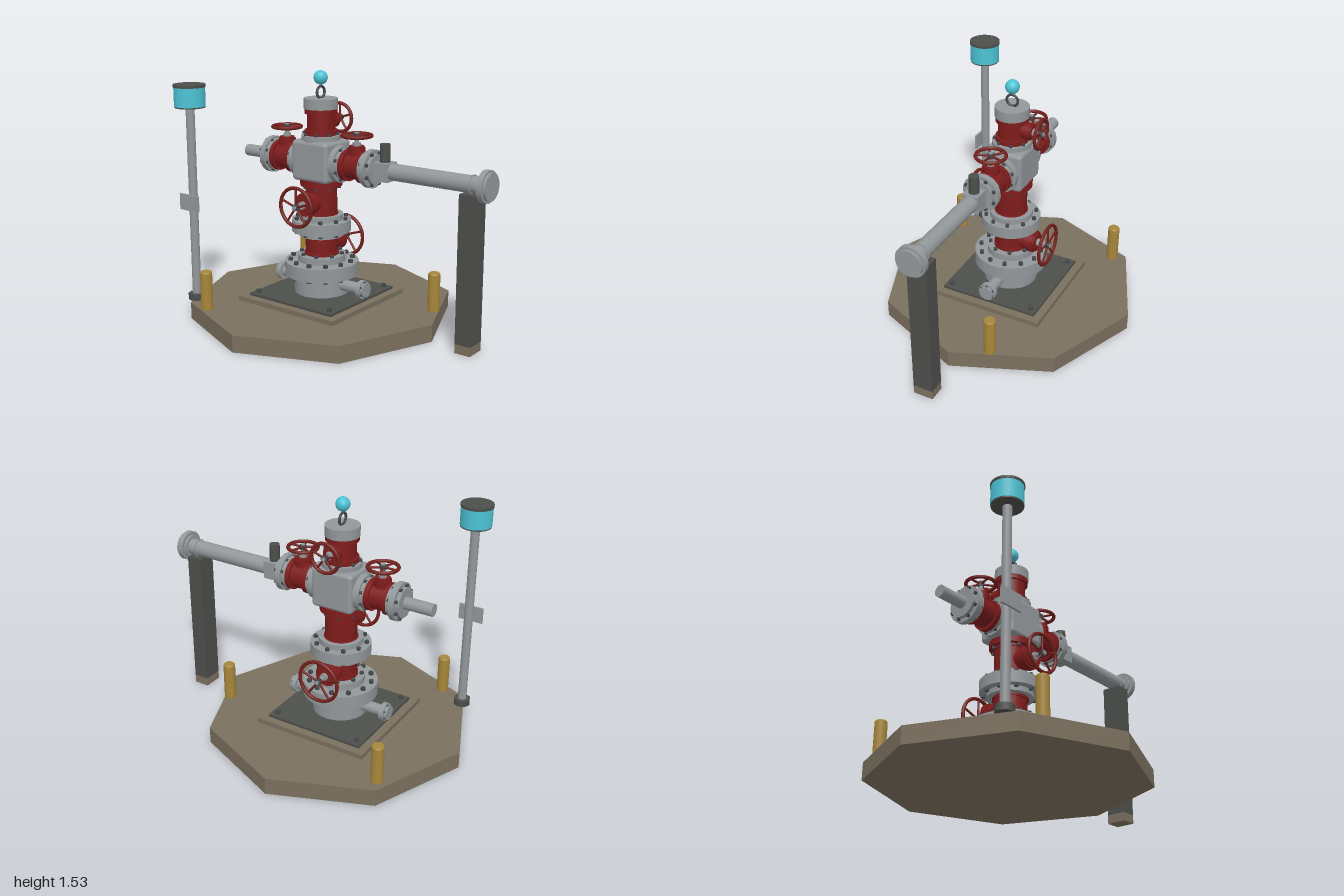
import * as THREE from 'three';
import { RoundedBoxGeometry } from 'three/addons/geometries/RoundedBoxGeometry.js';

const mat = (name, color) => {
  const m = new THREE.MeshStandardMaterial({ color });
  m.name = name;
  return m;
};

export function createModel() {
  const concrete = mat('concrete', 0x7b705f);
  const dark = mat('dark steel', 0x4d4f4b);
  const steel = mat('grey steel', 0x92979a);
  const red = mat('valve red', 0x7e1c1c);
  const rimRed = mat('handwheel red', 0x74201c);
  const cyan = mat('lamp cyan', 0x4cc3d5);
  const gold = mat('bollard yellow', 0xa6863a);
  const boltMat = mat('bolt steel', 0x45494b);

  const model = new THREE.Group();
  model.name = 'wellhead';
  const CX = -0.18, WING_Y = 0.98;

  const add = (parent, name, geo, material, x = 0, y = 0, z = 0) => {
    const m = new THREE.Mesh(geo, material);
    m.name = name;
    m.position.set(x, y, z);
    parent.add(m);
    return m;
  };
  const group = (parent, name, x = 0, y = 0, z = 0) => {
    const g = new THREE.Group();
    g.name = name;
    g.position.set(x, y, z);
    parent.add(g);
    return g;
  };
  const box = (p, name, material, w, h, d, x, y, z) =>
    add(p, name, new THREE.BoxGeometry(w, h, d), material, x, y, z);
  // Cylinder along local y between y0 and y1
  const cyl = (p, name, material, r, y0, y1, x = 0, z = 0, sides = 32) =>
    add(p, name, new THREE.CylinderGeometry(r, r, y1 - y0, sides), material, x, (y0 + y1) / 2, z);
  // Ring of bolts standing around local y
  const boltRing = (p, n, ring, y0, y1, r = 0.013) => {
    for (let i = 0; i < n; i++) {
      const a = ((i + 0.5) / n) * Math.PI * 2;
      cyl(p, 'flangeBolt', boltMat, r, y0, y1, Math.cos(a) * ring, Math.sin(a) * ring, 6);
    }
  };
  // Turn a group so that its local y runs along world x, and its local z along world y
  const layAlongX = (g, side) => {
    const m = new THREE.Matrix4().makeBasis(
      new THREE.Vector3(0, 0, side), new THREE.Vector3(side, 0, 0), new THREE.Vector3(0, 1, 0));
    g.quaternion.setFromRotationMatrix(m);
    return g;
  };

  // Spoked handwheel lying in the local xy plane
  const handwheel = (p, radius, z) => {
    const g = group(p, 'handwheel', 0, 0, z);
    add(g, 'wheelRim', new THREE.TorusGeometry(radius - 0.011, 0.011, 8, 36), rimRed);
    for (let i = 0; i < 5; i++) {
      const arm = group(g, 'wheelSpoke');
      arm.rotation.z = (i / 5) * Math.PI * 2;
      cyl(arm, 'spokeBar', rimRed, 0.007, 0, radius - 0.012, 0, 0, 8);
    }
    cyl(g, 'wheelHub', boltMat, 0.02, -0.014, 0.014, 0, 0, 12).rotation.x = Math.PI / 2;
  };
  // Gate valve: body along local y, bonnet and handwheel along local z
  const valve = (p, name, half, r, endR, bonnetR, bonnetZ, wheelR, wheelZ) => {
    const g = group(p, name);
    cyl(g, 'valveBody', red, r, -half, half);
    for (const s of [-1, 1]) {
      const a = s * half, b = s * (half - 0.03);
      cyl(g, 'valveEndFlange', red, endR, Math.min(a, b), Math.max(a, b));
    }
    const bonnet = group(g, 'bonnet');
    bonnet.rotation.x = Math.PI / 2;
    cyl(bonnet, 'bonnetNeck', red, bonnetR * 0.86, 0, bonnetZ);
    cyl(bonnet, 'bonnetCap', red, bonnetR, bonnetZ - 0.05, bonnetZ - 0.012);
    cyl(bonnet, 'stem', steel, 0.013, bonnetZ, wheelZ + 0.02, 0, 0, 12);
    cyl(bonnet, 'stemNut', steel, 0.024, bonnetZ, bonnetZ + 0.02, 0, 0, 12);
    handwheel(g, wheelR, wheelZ);
    return g;
  };

  // Ground pad and base plates
  add(model, 'octagonPad', new THREE.CylinderGeometry(0.82, 0.82, 0.105, 8).toNonIndexed(), concrete, CX, 0.0525, 0)
    .geometry.computeVertexNormals();
  box(model, 'plinth', concrete, 0.74, 0.03, 0.74, CX, 0.12, 0);
  box(model, 'basePlate', dark, 0.64, 0.016, 0.64, CX, 0.143, 0);
  for (const sx of [-1, 1]) for (const sz of [-1, 1])
    cyl(model, 'anchorBolt', boltMat, 0.015, 0.15, 0.172, CX + sx * 0.28, sz * 0.28, 8);

  // Central stack
  const tree = group(model, 'christmasTree', CX);
  cyl(tree, 'casingHead', steel, 0.17, 0.15, 0.28);
  cyl(tree, 'casingFlange', steel, 0.23, 0.268, 0.353, 0, 0, 40);
  cyl(tree, 'casingHub', steel, 0.15, 0.353, 0.395);
  boltRing(tree, 12, 0.195, 0.353, 0.372, 0.015);
  boltRing(tree, 12, 0.195, 0.252, 0.268, 0.015);
  boltRing(tree, 8, 0.13, 0.395, 0.41);
  cyl(tree, 'tubingHub', steel, 0.14, 0.515, 0.546);
  cyl(tree, 'tubingFlange', steel, 0.184, 0.546, 0.618, 0, 0, 40);
  cyl(tree, 'tubingCollar', steel, 0.135, 0.618, 0.652);
  boltRing(tree, 10, 0.158, 0.618, 0.636);
  boltRing(tree, 10, 0.158, 0.53, 0.546);

  const lower = valve(tree, 'lowerMasterValve', 0.075, 0.1, 0.108, 0.07, 0.185, 0.14, 0.256);
  lower.position.y = 0.455;
  lower.rotation.y = Math.PI;
  const upper = valve(tree, 'upperMasterValve', 0.11, 0.098, 0.105, 0.073, 0.178, 0.13, 0.245);
  upper.position.y = 0.735;
  cyl(tree, 'masterTopFlange', red, 0.13, 0.832, 0.873);
  boltRing(tree, 8, 0.112, 0.818, 0.832, 0.012);

  // Cross block with side, front and top bosses
  add(tree, 'crossBlock', new RoundedBoxGeometry(0.27, 0.25, 0.25, 3, 0.025), steel, 0, 0.992, 0);
  cyl(tree, 'crossTopFlange', steel, 0.12, 1.1, 1.145);
  boltRing(tree, 8, 0.105, 1.145, 1.16, 0.011);

  // Swab valve, cap, lifting ring and marker ball
  const swab = valve(tree, 'swabValve', 0.08, 0.085, 0.1, 0.052, 0.14, 0.1, 0.19);
  swab.position.y = 1.225;
  swab.rotation.y = Math.PI;
  cyl(tree, 'treeCap', steel, 0.104, 1.304, 1.367);
  add(tree, 'liftingRing', new THREE.TorusGeometry(0.036, 0.008, 8, 28), boltMat, 0, 1.402, 0).rotation.y = Math.PI / 2;
  add(tree, 'markerBall', new THREE.SphereGeometry(0.043, 24, 16), cyan, 0, 1.49, 0);

  // Mirrored wings and casing outlets, built outward from the axis
  for (const s of [-1, 1]) {
    const wing = layAlongX(group(tree, s < 0 ? 'rightWing' : 'leftWing', 0, WING_Y, 0), s);
    cyl(wing, 'crossSideBoss', steel, 0.112, 0.12, 0.172);
    cyl(wing, 'innerCollar', steel, 0.095, 0.172, 0.2);
    boltRing(wing, 8, 0.095, 0.172, 0.186, 0.011);
    valve(wing, 'wingValve', 0.075, 0.08, 0.096, 0.053, 0.125, 0.1, 0.186).position.y = 0.27;
    cyl(wing, 'outerCollar', steel, 0.1, 0.342, 0.365);
    cyl(wing, 'wingFlange', steel, 0.115, 0.365, 0.4);
    cyl(wing, 'wingFlangeFace', steel, 0.09, 0.4, 0.422);
    boltRing(wing, 8, 0.097, 0.4, 0.414, 0.011);
    boltRing(wing, 8, 0.097, 0.352, 0.365, 0.011);

    const outlet = layAlongX(group(tree, 'casingOutlet', 0, 0.217, 0), s);
    cyl(outlet, 'outletPipe', steel, 0.035, 0.14, 0.31, 0, 0, 20);
    cyl(outlet, 'outletFlange', steel, 0.057, 0.3, 0.33, 0, 0, 24);
    cyl(outlet, 'outletCap', steel, 0.045, 0.33, 0.347, 0, 0, 24);
    boltRing(outlet, 6, 0.047, 0.33, 0.338, 0.006);

    if (s < 0) {
      cyl(wing, 'killLine', steel, 0.037, 0.41, 0.6, 0, 0, 24);
    } else {
      // Flow line with choke, clamp and end flange
      cyl(wing, 'chokeNeck', steel, 0.05, 0.41, 0.44);
      cyl(wing, 'flowLine', steel, 0.05, 0.5, 1.13);
      cyl(wing, 'pipeClamp', steel, 0.056, 1.06, 1.066);
      cyl(wing, 'endFlangeHub', steel, 0.07, 1.115, 1.13);
      cyl(wing, 'endFlange', steel, 0.093, 1.13, 1.163);
      cyl(wing, 'endFlangeFace', steel, 0.08, 1.163, 1.18);
      box(tree, 'chokeBlock', steel, 0.1, 0.11, 0.1, 0.475, WING_Y - 0.003, 0);
      cyl(tree, 'chokeStem', dark, 0.031, 1.03, 1.14, 0.475, 0, 20);
    }
  }

  // Flow line support post
  box(model, 'postFooting', concrete, 0.1, 0.055, 0.124, 0.88, 0.0275, 0);
  box(model, 'supportPost', dark, 0.1, 0.875, 0.124, 0.88, 0.4925, 0);

  // Beacon pole with blank plate
  const beacon = group(model, 'beacon', -0.78, 0, 0.505);
  cyl(beacon, 'poleFoot', dark, 0.053, 0.105, 0.145, 0, 0, 8);
  cyl(beacon, 'pole', steel, 0.027, 0.145, 1.32, 0, 0, 20);
  cyl(beacon, 'lampBase', dark, 0.092, 1.315, 1.323);
  cyl(beacon, 'lampGlass', cyan, 0.094, 1.323, 1.438);
  cyl(beacon, 'lampCap', dark, 0.097, 1.438, 1.455);
  box(beacon, 'blankPlate', steel, 0.155, 0.1, 0.012, 0, 0.732, 0.034);

  // Bollards
  for (const [x, z] of [[-0.72, -0.495], [0.515, -0.215], [-0.6, 0.597]]) {
    cyl(model, 'bollard', gold, 0.037, 0.105, 0.335, x, z, 20);
    add(model, 'bollardTop', new THREE.CylinderGeometry(0.031, 0.037, 0.009, 20), gold, x, 0.3395, z);
  }

  return model;
}
